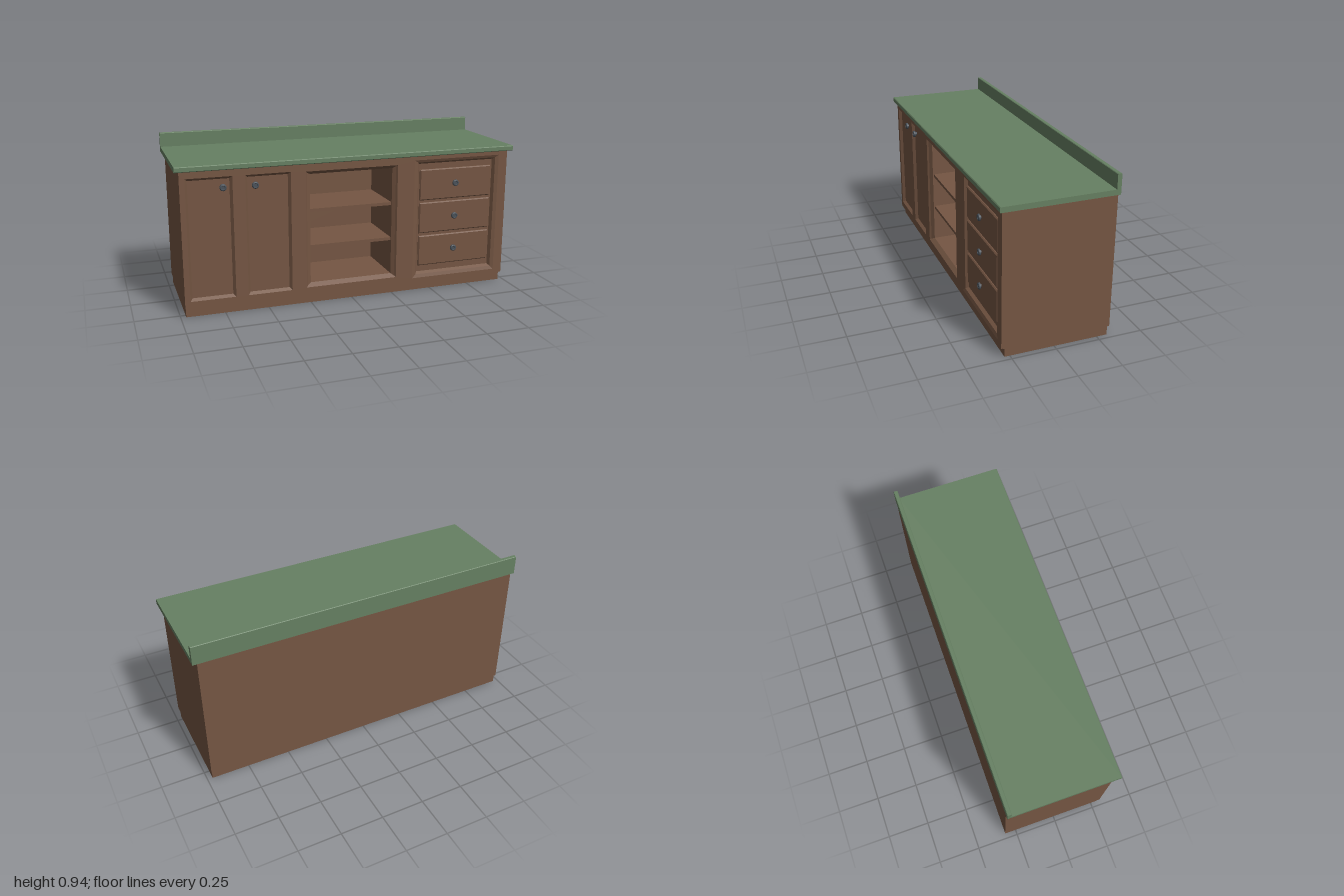
import * as THREE from 'three';

const wood = new THREE.MeshStandardMaterial({ color: 0x755643 });
const green = new THREE.MeshStandardMaterial({ color: 0x668062 });
const metal = new THREE.MeshStandardMaterial({ color: 0x4a525a });

// A rectangle is [x0, x1, y0, y1]
const inset = ([a, b, c, d], t) => [a + t, b - t, c + t, d - t];
const corners = ([a, b, c, d]) => [[a, c], [b, c], [b, d], [a, d]];
const toPoints = (list) => list.map(([x, y]) => new THREE.Vector2(x, y));

export function createModel() {
  const model = new THREE.Group();

  function add(name, geometry, material = wood, parent = model) {
    const mesh = new THREE.Mesh(geometry, material);
    mesh.name = name;
    parent.add(mesh);
    return mesh;
  }

  function box(name, [x0, x1, y0, y1], z0, z1, parent = model) {
    const m = add(name, new THREE.BoxGeometry(x1 - x0, y1 - y0, z1 - z0), wood, parent);
    m.position.set((x0 + x1) / 2, (y0 + y1) / 2, (z0 + z1) / 2);
    return m;
  }

  // Upright slab with rectangular openings
  function slab(name, rect, holes, z0, z1) {
    const shape = new THREE.Shape(toPoints(corners(rect)));
    holes.forEach((h) => shape.holes.push(new THREE.Path(toPoints(corners(h).reverse()))));
    const m = add(name, new THREE.ExtrudeGeometry(shape, { depth: z1 - z0, bevelEnabled: false }));
    m.position.z = z0;
  }

  // Sloping rectangular moulding from the outer rectangle to the inner one
  function moulding(name, outer, zOuter, inner, zInner, parent = model) {
    const o = corners(outer), n = corners(inner), pos = [];
    for (let i = 0; i < 4; i++) {
      const j = (i + 1) % 4;
      const A = [...o[i], zOuter], B = [...o[j], zOuter];
      const C = [...n[j], zInner], D = [...n[i], zInner];
      pos.push(...A, ...B, ...C, ...A, ...C, ...D);
    }
    const g = new THREE.BufferGeometry();
    g.setAttribute('position', new THREE.Float32BufferAttribute(pos, 3));
    g.computeVertexNormals();
    add(name, g, wood, parent);
  }

  function knob(x, y, z0, z1, parent) {
    const d = z1 - z0;
    const profile = toPoints([[0, 0], [0.01, 0], [0.01, d * 0.3], [0.019, d * 0.45],
      [0.019, d * 0.85], [0.015, d], [0.011, d], [0.009, d * 0.85], [0, d * 0.85]]);
    const g = new THREE.LatheGeometry(profile, 20).toNonIndexed();
    g.computeVertexNormals();
    const m = add('knob', g, metal, parent);
    m.rotation.x = Math.PI / 2;
    m.position.set(x, y, z0);
  }

  // Profile in (z, y) extruded along the width
  function along(name, profile, halfWidth, material) {
    const shape = new THREE.Shape(toPoints(profile.map(([z, y]) => [-z, y])));
    const g = new THREE.ExtrudeGeometry(shape, { depth: halfWidth * 2, bevelEnabled: false });
    g.translate(0, 0, -halfWidth).rotateY(Math.PI / 2);
    return add(name, g, material);
  }

  const body = [-0.975, 0.975, 0.055, 0.825];
  const doors = [[-0.945, -0.69, 0.095, 0.785], [-0.62, -0.365, 0.095, 0.785]];
  const bay = [-0.28, 0.27, 0.1, 0.78];
  const bayInner = [-0.25, 0.245, 0.12, 0.76];
  const drawerBay = [0.375, 0.92, 0.08, 0.8];

  // Plinth with a small sloped lip under the body
  along('plinth', [[0.28, 0], [0.28, 0.048], [0.3, 0.055], [-0.32, 0.055], [-0.31, 0.048], [-0.31, 0]], 0.97, wood);

  // Carcass: solid back, hollow middle and framed front
  box('cabinetBack', body, -0.32, -0.06);
  slab('carcass', body, [bayInner], -0.06, 0.275);
  slab('faceFrame', body, [...doors, bay, drawerBay], 0.275, 0.3);

  // Doors with recessed panels
  doors.forEach((rect, i) => {
    const door = new THREE.Group();
    door.name = i ? 'rightDoor' : 'leftDoor';
    model.add(door);
    moulding('doorMoulding', rect, 0.3, inset(rect, 0.014), 0.283, door);
    box('doorPanel', inset(rect, 0.002), 0.27, 0.283, door);
    knob(i ? -0.565 : -0.742, 0.725, 0.283, 0.308, door);
  });

  // Open shelf bay
  moulding('bayOuterMoulding', bay, 0.3, inset(bay, 0.008), 0.29);
  moulding('bayInnerMoulding', inset(bay, 0.008), 0.29, bayInner, 0.275);
  for (const y of [0.333, 0.547]) box('shelf', [-0.25, 0.245, y - 0.009, y + 0.009], -0.06, 0.268);

  // Drawer bay and drawers
  const lip = [0.4, 0.9, 0.1, 0.785];
  moulding('drawerBayMoulding', drawerBay, 0.3, lip, 0.293);
  moulding('drawerBayStep', lip, 0.293, inset(lip, 0.012), 0.275);
  for (const [y0, y1] of [[0.15, 0.335], [0.352, 0.538], [0.553, 0.738]]) {
    const drawer = new THREE.Group();
    drawer.name = 'drawer';
    model.add(drawer);
    const rect = [0.418, 0.877, y0, y1];
    box('drawerFront', rect, 0.27, 0.28, drawer);
    moulding('drawerBevel', rect, 0.28, inset(rect, 0.006), 0.286, drawer);
    box('drawerPanel', inset(rect, 0.006), 0.278, 0.286, drawer);
    knob(0.642, (y0 + y1) / 2 + 0.003, 0.284, 0.304, drawer);
  }

  // Worktop and upstand in one profile with softened edges
  along('worktop', [
    [0.317, 0.825], [0.321, 0.829], [0.321, 0.851], [0.317, 0.855], [-0.297, 0.855],
    [-0.297, 0.935], [-0.3, 0.938], [-0.318, 0.938], [-0.321, 0.935], [-0.321, 0.825],
  ], 1, green);

  return model;
}
